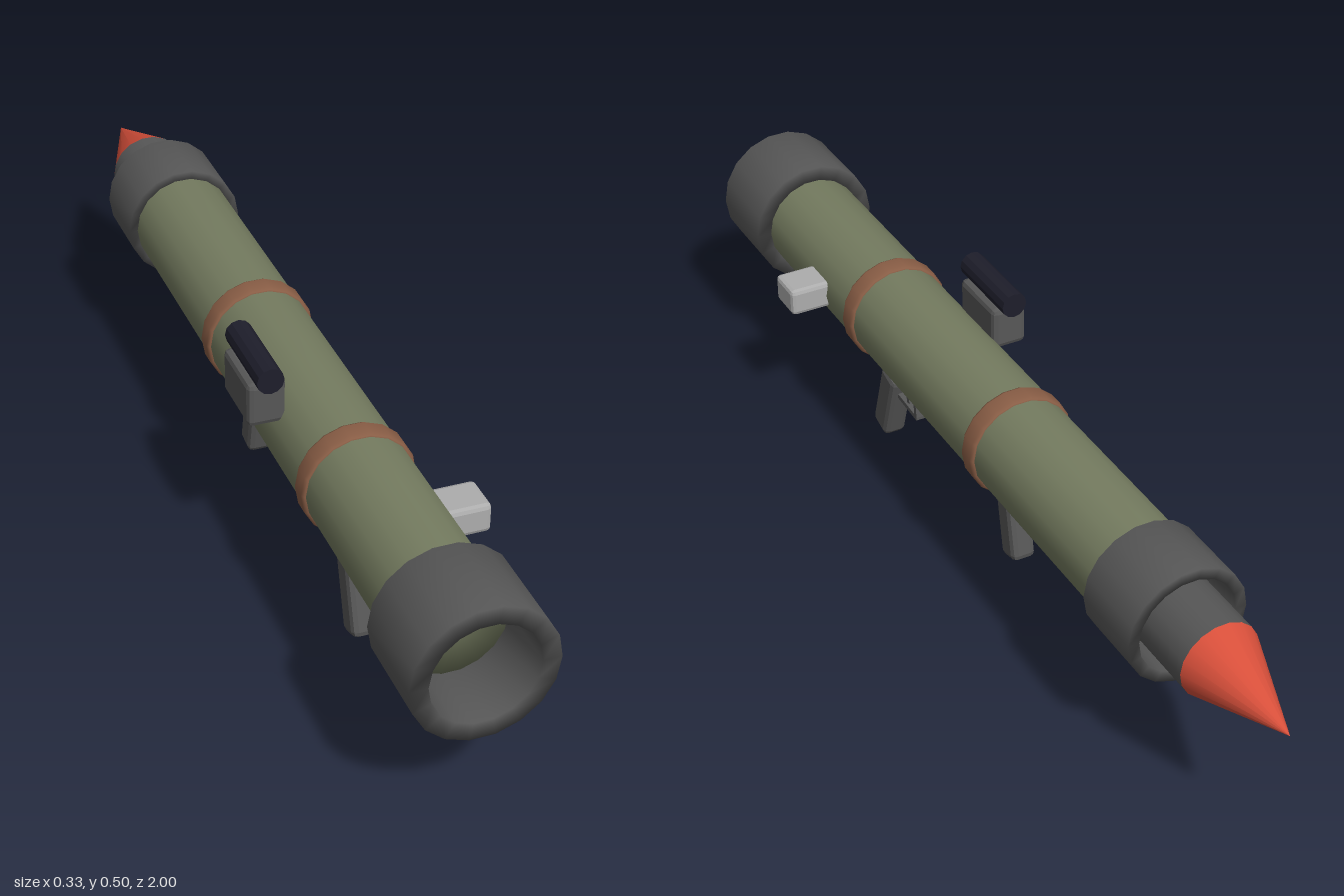
import * as THREE from 'three';
import { mergeVertices } from 'three/addons/utils/BufferGeometryUtils.js';
import { RoundedBoxGeometry } from 'three/addons/geometries/RoundedBoxGeometry.js';

const AXIS_X = -0.016, AXIS_Y = 0.33, SIDES = 18;

export function createModel() {
  const group = new THREE.Group();
  const material = (name, color) => {
    const m = new THREE.MeshStandardMaterial({ color });
    m.name = name;
    return m;
  };
  const green = material('olive green', 0x757c60);
  const grey = material('dark grey', 0x575757);
  const brown = material('strap brown', 0x8a5e46);
  const red = material('warhead red', 0xd9503b);
  const navy = material('scope black', 0x1e1e2b);
  const silver = material('light grey', 0xadadad);

  const add = (name, geometry, mat, x, y, z, tilt = 0) => {
    const mesh = new THREE.Mesh(geometry, mat);
    mesh.name = name;
    mesh.position.set(x, y, z);
    mesh.rotation.x = tilt;
    group.add(mesh);
    return mesh;
  };

  // Body of revolution along z from [radius, z] points; smooth joins normals over the edges
  const turned = (name, points, mat, smooth = false) => {
    let g = new THREE.LatheGeometry(
      points.map(([r, z]) => new THREE.Vector2(r, z)), SIDES, Math.PI / SIDES);
    g.rotateX(Math.PI / 2);
    if (smooth) {
      g.deleteAttribute('normal');
      g.deleteAttribute('uv');
      g = mergeVertices(g, 1e-4);
      g.computeVertexNormals();
    }
    return add(name, g, mat, AXIS_X, AXIS_Y, 0);
  };

  // Hollow ring, walked from its outer back edge round to the start
  const ring = (name, outer, inner, back, front, mat) => turned(name, [
    [outer, back], [outer, front], [inner, front], [inner, back], [outer, back],
  ], mat, true);

  // Box with chamfered, flat-shaded edges
  const block = (name, w, h, d, bevel, mat, x, y, z, tilt) => {
    const g = new RoundedBoxGeometry(w, h, d, 1, bevel);
    g.computeVertexNormals();
    return add(name, g, mat, x, y, z, tilt);
  };

  // Launch tube with its closed ends
  turned('launchTube', [[0, -0.6], [0.102, -0.6], [0.102, 0.87], [0, 0.87]], green, true);
  ring('frontCollar', 0.133, 0.099, 0.825, 1, grey);
  ring('rearCollar', 0.119, 0.097, -0.69, -0.54, grey);

  // Straps with softened edges
  for (const z of [0.437, -0.083]) {
    turned('strap', [
      [0.1, z - 0.022], [0.105, z - 0.022], [0.109, z - 0.015],
      [0.109, z + 0.015], [0.105, z + 0.022], [0.1, z + 0.022],
    ], brown);
  }

  // Warhead
  turned('warheadBody', [[0.078, -0.79], [0.078, -0.58]], grey);
  turned('warheadTip', [[0, -1], [0.078, -0.79]], red);

  // Sight
  block('sightMount', 0.073, 0.09, 0.14, 0.011, grey, -0.127, 0.419, 0.217);
  const scope = new THREE.CylinderGeometry(0.026, 0.026, 0.175, 12).toNonIndexed();
  scope.rotateX(Math.PI / 2);
  scope.computeVertexNormals();
  add('sightScope', scope, navy, -0.127, 0.478, 0.217);

  // Side control box
  block('controlBox', 0.09, 0.058, 0.082, 0.009, silver, 0.118, 0.331, 0.586);

  // Underside rail and grips
  block('rail', 0.05, 0.045, 0.29, 0.008, grey, AXIS_X, 0.217, 0.29);
  block('rearGrip', 0.05, 0.172, 0.06, 0.012, grey, AXIS_X, 0.096, 0.453, -0.3);
  block('frontGrip', 0.05, 0.16, 0.056, 0.012, grey, AXIS_X, 0.141, -0.08, 0.2);

  // Trigger and guard
  const bar = (name, h, d, y, z, tilt) =>
    add(name, new THREE.BoxGeometry(0.02, h, d), grey, AXIS_X, y, z, tilt);
  bar('triggerGuardBase', 0.01, 0.085, 0.129, 0.367, -0.06);
  bar('triggerGuardFront', 0.058, 0.01, 0.157, 0.332, 0.12);
  bar('trigger', 0.045, 0.011, 0.165, 0.366, 0.25);

  return group;
}
